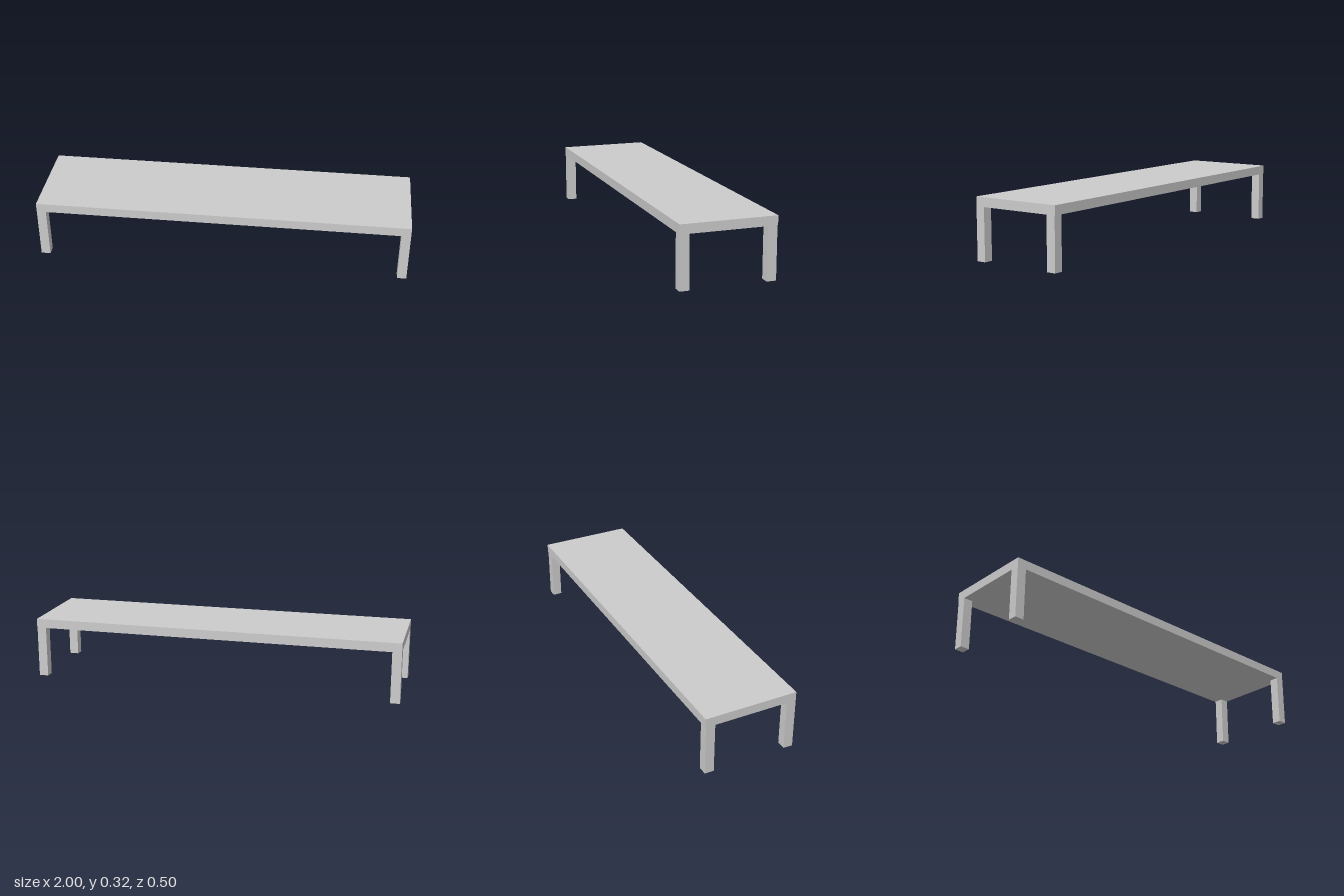
import * as THREE from 'three';

const LENGTH = 2, DEPTH = 0.502, HEIGHT = 0.325, SLAB = 0.049, LEG = 0.05;

export function createModel() {
  const model = new THREE.Group();
  model.name = 'bench';
  const material = new THREE.MeshStandardMaterial({ color: 0xcccccc });

  const addBox = (name, w, h, d, x, y, z) => {
    const mesh = new THREE.Mesh(new THREE.BoxGeometry(w, h, d), material);
    mesh.name = name;
    mesh.position.set(x, y, z);
    model.add(mesh);
  };

  // Flat slab top
  addBox('top', LENGTH, SLAB, DEPTH, 0, HEIGHT - SLAB / 2, 0);

  // Four square legs; the back pair sits slightly inside the slab edge
  const legHeight = HEIGHT - SLAB;
  const legX = (LENGTH - LEG) / 2;
  for (const [side, x] of [['Left', legX], ['Right', -legX]]) {
    addBox(`front${side}Leg`, LEG, legHeight, LEG, x, legHeight / 2, 0.226);
    addBox(`back${side}Leg`, LEG, legHeight, LEG, x, legHeight / 2, -0.223);
  }

  return model;
}
